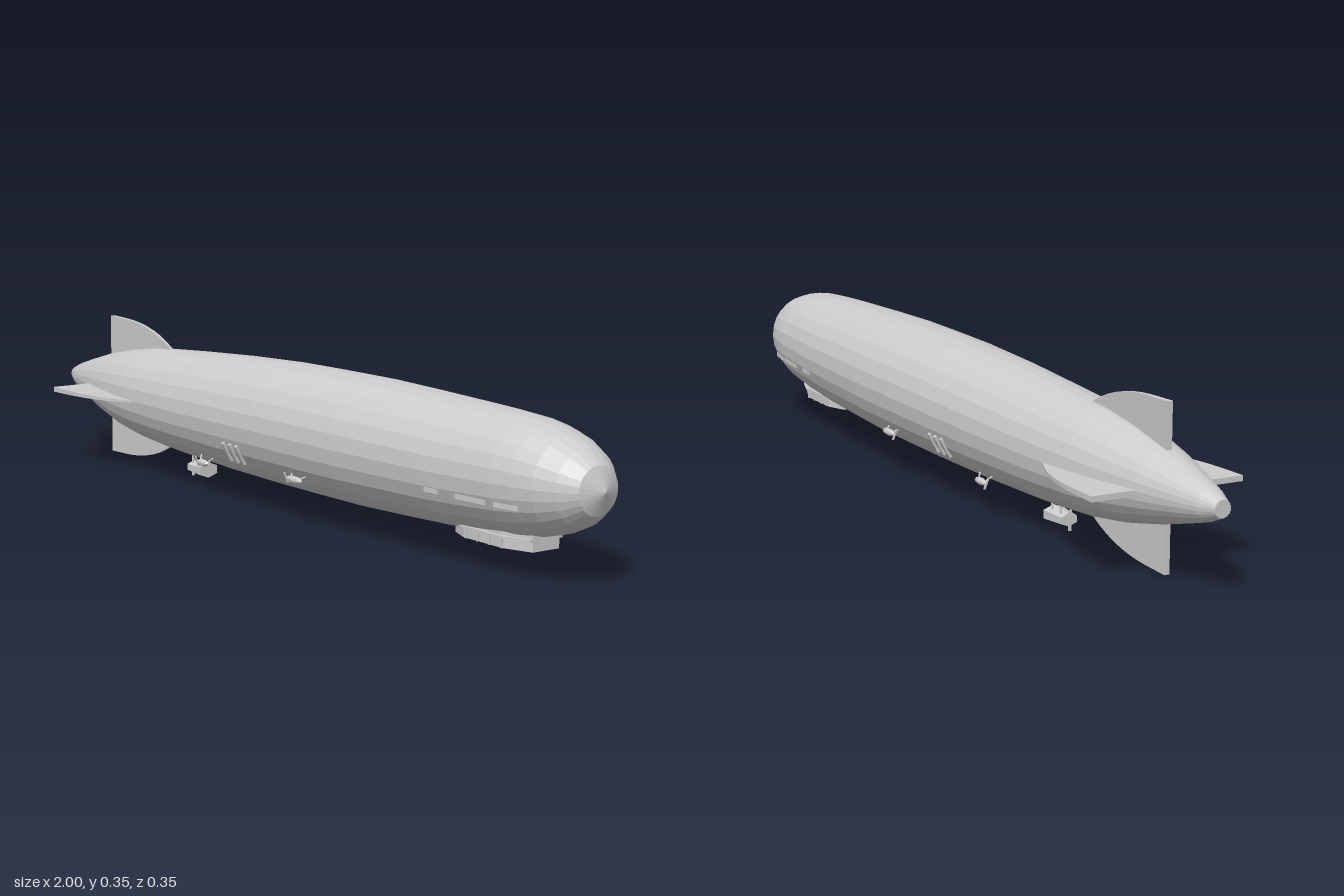
import * as THREE from 'three';

const grey = new THREE.MeshStandardMaterial({ color: 0xcccccc, flatShading: true });

// Hull stations: x, radius, height of centre
const stations = [
  [-1, 0.018, 0.182], [-0.96, 0.034, 0.181], [-0.9, 0.051, 0.181], [-0.81, 0.075, 0.181],
  [-0.7, 0.098, 0.18], [-0.6, 0.112, 0.18], [-0.5, 0.119, 0.18], [-0.4, 0.125, 0.181],
  [-0.2, 0.134, 0.184], [0, 0.139, 0.187], [0.15, 0.14, 0.188], [0.3, 0.14, 0.189],
  [0.45, 0.136, 0.19], [0.6, 0.131, 0.191], [0.7, 0.126, 0.193], [0.8, 0.119, 0.195],
  [0.85, 0.111, 0.196], [0.9, 0.098, 0.196], [0.945, 0.078, 0.196], [0.98, 0.05, 0.196],
];

function hullAt(x) {
  let i = 1;
  while (i < stations.length - 1 && stations[i][0] < x) i++;
  const a = stations[i - 1], b = stations[i];
  const t = THREE.MathUtils.clamp((x - a[0]) / (b[0] - a[0]), 0, 1);
  return { r: a[1] + (b[1] - a[1]) * t, y: a[2] + (b[2] - a[2]) * t };
}

function add(parent, geometry, name, x = 0, y = 0, z = 0) {
  const mesh = new THREE.Mesh(geometry, grey);
  mesh.name = name;
  mesh.position.set(x, y, z);
  parent.add(mesh);
  return mesh;
}

// Round bar between two points
function bar(parent, a, b, radius, name) {
  const from = new THREE.Vector3(...a), to = new THREE.Vector3(...b);
  const mesh = add(parent, new THREE.CylinderGeometry(radius, radius, from.distanceTo(to), 6), name);
  mesh.position.copy(from).add(to).multiplyScalar(0.5);
  mesh.quaternion.setFromUnitVectors(new THREE.Vector3(0, 1, 0), to.sub(from).normalize());
}

// Faceted body turned around the long axis, following the slightly bent centre line
function hullGeometry() {
  const profile = [new THREE.Vector2(0, -1), ...stations.map(s => new THREE.Vector2(s[1], s[0])), new THREE.Vector2(0, 1)];
  const g = new THREE.LatheGeometry(profile, 26);
  g.rotateZ(-Math.PI / 2);
  const p = g.attributes.position;
  for (let i = 0; i < p.count; i++) p.setY(i, p.getY(i) + hullAt(p.getX(i)).y);
  return g;
}

// Tail fin with a curved leading edge, thinner towards the front
function finGeometry() {
  const s = new THREE.Shape();
  s.moveTo(-0.815, 0.03);
  s.lineTo(-0.815, 0.173);
  s.lineTo(-0.74, 0.171);
  s.bezierCurveTo(-0.66, 0.168, -0.58, 0.15, -0.515, 0.106);
  s.lineTo(-0.515, 0.03);
  const g = new THREE.ExtrudeGeometry(s, { depth: 1, bevelEnabled: false, curveSegments: 8 });
  const p = g.attributes.position;
  for (let i = 0; i < p.count; i++) {
    const t = (p.getX(i) + 0.815) / 0.3;
    p.setZ(i, (p.getZ(i) - 0.5) * (0.012 - 0.007 * t));
  }
  g.computeVertexNormals();
  return g;
}

// Flat-bottomed cabin from a plan outline (x, half width)
function cabinGeometry(outline, bottom, top) {
  const pts = [...outline, ...outline.slice().reverse().map(([x, w]) => [x, -w])];
  const s = new THREE.Shape(pts.map(([x, z]) => new THREE.Vector2(x, z)));
  const g = new THREE.ExtrudeGeometry(s, { depth: top - bottom, bevelEnabled: false });
  g.rotateX(-Math.PI / 2);
  g.translate(0, bottom, 0);
  return g;
}

// Engine pod on struts with a two-blade propeller
function enginePod(x, y, z, length) {
  const pod = new THREE.Group();
  pod.name = 'enginePod';
  const body = add(pod, new THREE.SphereGeometry(1, 8, 6), 'podBody', x, y, z);
  body.scale.set(length / 2, 0.008, 0.008);
  const h = hullAt(x), d = Math.hypot(y - h.y, z), k = (h.r - 0.006) / d;
  for (const dx of [-0.012, 0.012]) {
    bar(pod, [x + dx, y, z], [x + dx * 2.5, h.y + (y - h.y) * k, z * k], 0.002, 'podStrut');
  }
  add(pod, new THREE.BoxGeometry(0.003, 0.026, 0.004), 'propeller', x - length / 2, y, z).rotation.x = 0.4;
  return pod;
}

export function createModel() {
  const model = new THREE.Group();
  model.name = 'airship';
  add(model, hullGeometry(), 'hull');

  // Four tail fins
  for (let i = 0; i < 4; i++) {
    add(model, finGeometry(), 'tailFin', 0, 0.178, 0).rotation.x = i * Math.PI / 2;
  }

  // Forward control cabin
  const cabin = new THREE.Group();
  cabin.name = 'controlCabin';
  model.add(cabin);
  const plan = [[0.6, 0.036], [0.65, 0.056], [0.77, 0.056], [0.835, 0.034]];
  add(cabin, cabinGeometry(plan, 0.054, 0.098), 'cabinBody');
  add(cabin, cabinGeometry(plan.map(([x, w]) => [x, w + 0.008]), 0.075, 0.08), 'cabinRail');
  for (const side of [-1, 1]) {
    for (let x = 0.66; x < 0.78; x += 0.036) {
      add(cabin, new THREE.BoxGeometry(0.006, 0.026, 0.006), 'windowPost', x, 0.067, side * 0.056);
    }
  }

  // Rear engine car hanging under the tail
  const car = new THREE.Group();
  car.name = 'rearEngineCar';
  model.add(car);
  const carBody = new THREE.CylinderGeometry(0.02, 0.026, 0.064, 6, 1);
  carBody.rotateZ(Math.PI / 2);
  carBody.rotateX(Math.PI / 6);
  const body = add(car, carBody, 'carBody', -0.407, 0.023, 0);
  body.scale.set(1, 0.72, 1.1);
  for (const dx of [-0.018, 0.018]) {
    for (const dz of [-0.012, 0.012]) bar(car, [-0.407 + dx, 0.03, dz], [-0.407 + dx, 0.064, dz], 0.003, 'carStrut');
  }
  add(car, new THREE.BoxGeometry(0.004, 0.042, 0.006), 'propeller', -0.442, 0.021, 0);

  for (const side of [-1, 1]) {
    // Side engines
    model.add(enginePod(0.16, 0.1, side * 0.126, 0.06));
    model.add(enginePod(-0.24, 0.073, side * 0.102, 0.05));

    // Promenade window strips
    for (const [x0, x1] of [[0.61, 0.65], [0.7, 0.785], [0.805, 0.865]]) {
      const x = (x0 + x1) / 2, h = hullAt(x), y = 0.154;
      const z = Math.sqrt(h.r * h.r - (y - h.y) ** 2) - 0.002;
      const strip = add(model, new THREE.BoxGeometry(x1 - x0, 0.01, 0.008), 'windowStrip', x, y, side * z);
      strip.rotation.y = side * Math.atan2(hullAt(x0).r - hullAt(x1).r, x1 - x0);
    }

    // Three vent ribs low on each flank
    for (let i = 0; i < 3; i++) {
      const x = -0.11 + i * 0.027, h = hullAt(x), a = 0.5;
      const rib = add(model, new THREE.BoxGeometry(0.008, 0.05, 0.008), 'ventRib',
        x, h.y - Math.sin(a) * h.r, side * Math.cos(a) * h.r);
      rib.rotation.x = side * a;
    }
  }
  return model;
}
